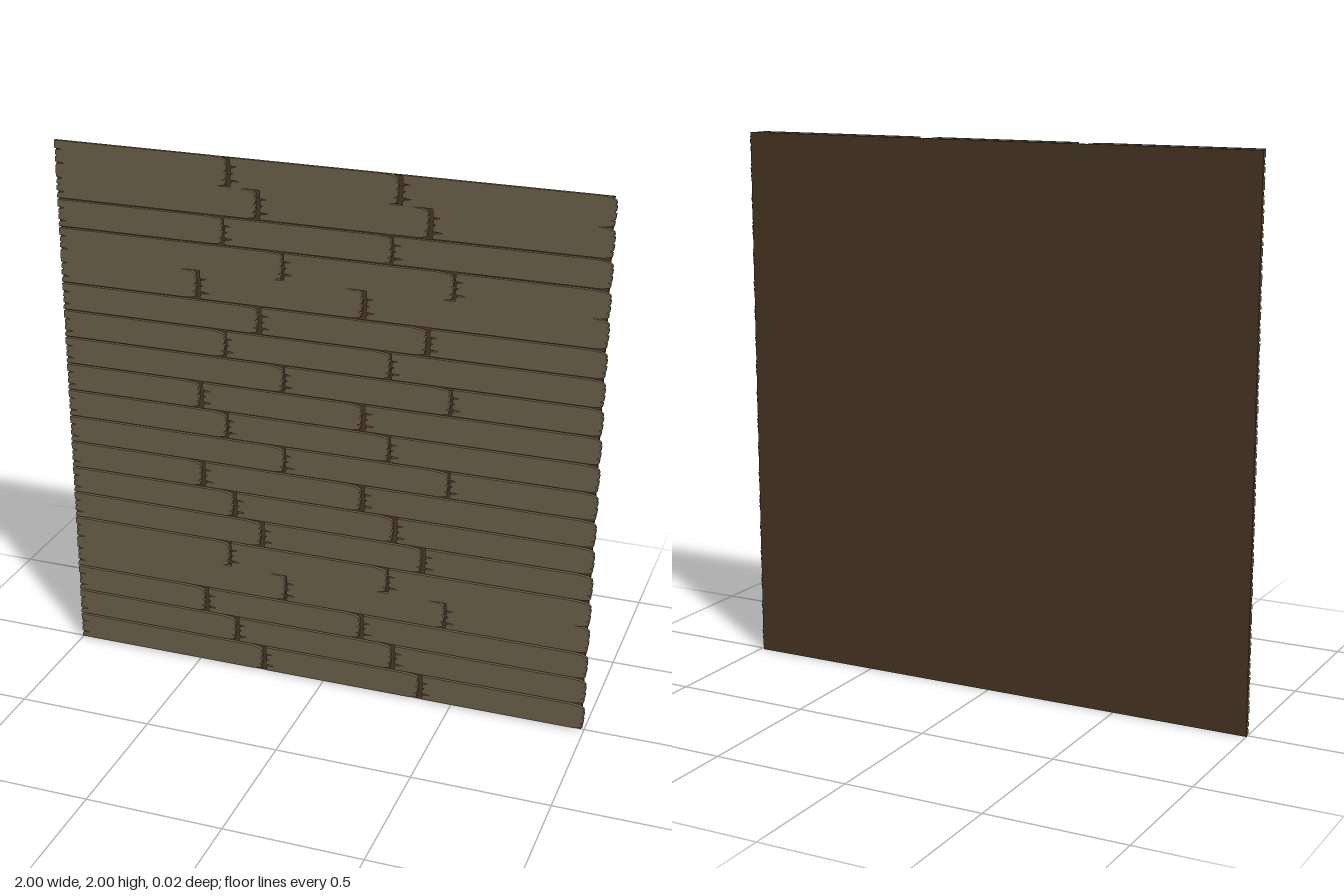
import * as THREE from 'three';

const ROWS = 19, PITCH = 0.105, BASE = 0.006;
const FRONT = 0.012;

// Joint positions for the five staggered layouts (centre of each gap)
const LAYOUTS = {
  a: [-0.235, 0.382],
  b: [-0.342, 0.275],
  c: [-0.465, 0.152],
  d: [-0.145, 0.470],
  e: [-0.365, 0.250],
};
const ORDER = 'abcdeabcdecdeacdeab'; // bottom to top
const TIGHT = [3, 14, 17];           // rows that touch the one above

// Splintered end profiles: [inset from the end, fraction of height]
const RIGHT_END = [
  [0.035, 0], [0.006, 0.06], [0.004, 0.2], [0.016, 0.23], [0.003, 0.27],
  [0.001, 0.45], [0.010, 0.5], [0.002, 0.54], [0, 0.7], [0.008, 0.74],
  [0.001, 0.78], [0.004, 0.88], [0.022, 0.96], [0.06, 1],
];
const LEFT_END = [
  [0, 1], [0, 0.73], [0.028, 0.70], [0.003, 0.66], [0.001, 0.5],
  [0.012, 0.47], [0.001, 0.43], [0, 0.26], [0.034, 0.22], [0.004, 0.18], [0, 0.1], [0, 0],
];

function plank(x0, x1, y0, height, material) {
  const points = [
    ...RIGHT_END.map(([dx, t]) => new THREE.Vector2(x1 - dx, y0 + t * height)),
    ...LEFT_END.map(([dx, t]) => new THREE.Vector2(x0 + dx, y0 + t * height)),
  ];
  const geometry = new THREE.ExtrudeGeometry(new THREE.Shape(points), {
    depth: FRONT, bevelEnabled: false,
  });
  const mesh = new THREE.Mesh(geometry, material);
  mesh.name = 'plank';
  return mesh;
}

export function createModel() {
  const model = new THREE.Group();
  model.name = 'plankWall';
  const wood = new THREE.MeshStandardMaterial({ color: 0x6e604b });
  const dark = new THREE.MeshStandardMaterial({ color: 0x4a3826 });

  // Backing panel, a little short of the plank ends on one side
  const panel = new THREE.Mesh(new THREE.BoxGeometry(1.988, 1.996, 0.012), dark);
  panel.name = 'backingPanel';
  panel.position.set(-0.006, 0.998, -0.006);
  model.add(panel);

  // Staggered rows of planks
  for (let i = 0; i < ROWS; i++) {
    const row = new THREE.Group();
    row.name = 'plankRow';
    const key = ORDER[i];
    const [j1, j2] = LAYOUTS[key];
    const half = key === 'd' || key === 'e' ? 0.003 : 0.007;
    const y0 = BASE + i * PITCH;
    const height = i === ROWS - 1 ? 2 - y0 : PITCH - (TIGHT.includes(i) ? 0 : 0.007);
    row.add(
      plank(-1, j1 - half, y0, height, wood),
      plank(j1 + half, j2 - half, y0, height, wood),
      plank(j2 + half, 1, y0, height, wood),
    );
    model.add(row);
  }
  return model;
}
